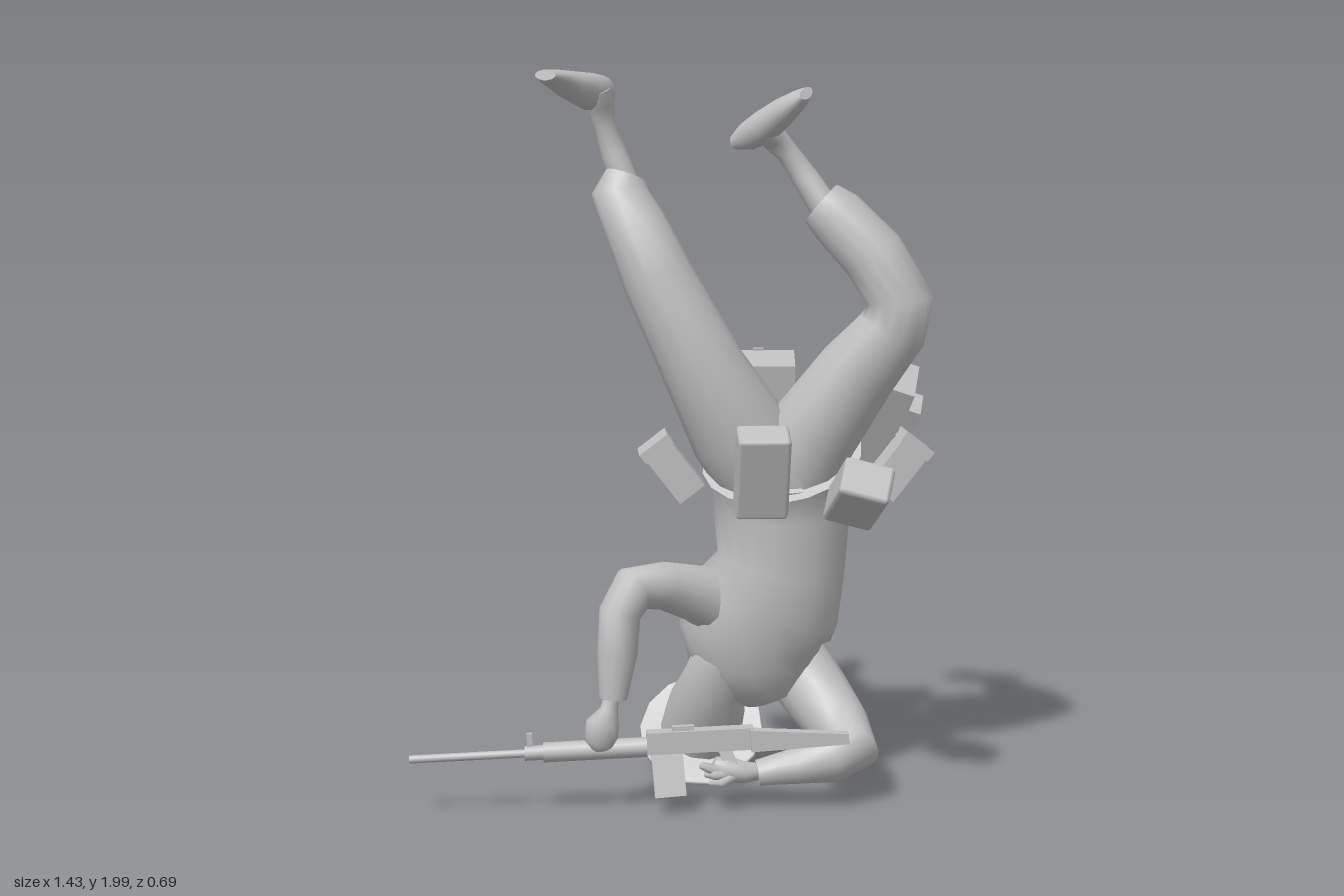
import * as THREE from 'three';
import { RoundedBoxGeometry } from 'three/addons/geometries/RoundedBoxGeometry.js';

const V = (x, y, z) => new THREE.Vector3(x, y, z);

// Closed skin over elliptical rings [x, y, z, a, b]; b lies along ref, a across it
function limbGeometry(rings, ref = V(0, 0, 1), n = 14) {
  const pos = [], idx = [];
  const pts = rings.map(r => V(r[0], r[1], r[2]));
  rings.forEach((r, i) => {
    const t = V(0, 0, 0);
    if (i > 0) t.add(pts[i].clone().sub(pts[i - 1]).normalize());
    if (i < pts.length - 1) t.add(pts[i + 1].clone().sub(pts[i]).normalize());
    t.normalize();
    const side = ref.clone().cross(t).normalize(), up = t.clone().cross(side);
    for (let j = 0; j < n; j++) {
      const k = j / n * Math.PI * 2;
      const p = pts[i].clone().addScaledVector(side, r[3] * Math.cos(k))
        .addScaledVector(up, (r[4] ?? r[3]) * Math.sin(k));
      pos.push(p.x, p.y, p.z);
    }
  });
  for (let i = 0; i < rings.length - 1; i++) for (let j = 0; j < n; j++) {
    const a = i * n + j, b = i * n + (j + 1) % n;
    idx.push(a, b, a + n, b, b + n, a + n);
  }
  // flat end caps with their own vertices
  [[0, 1], [rings.length - 1, 0]].forEach(([i, start]) => {
    const base = pos.length / 3;
    pos.push(...pos.slice(i * n * 3, (i + 1) * n * 3), ...pts[i].toArray());
    for (let j = 0; j < n; j++) {
      const a = base + j, b = base + (j + 1) % n;
      idx.push(base + n, start ? b : a, start ? a : b);
    }
  });
  const g = new THREE.BufferGeometry();
  g.setAttribute('position', new THREE.Float32BufferAttribute(pos, 3));
  g.setIndex(idx);
  g.computeVertexNormals();
  return g;
}

export function createModel() {
  const model = new THREE.Group();
  model.name = 'upturnedSoldier';
  const grey = new THREE.MeshStandardMaterial({ color: 0xc0c0c0 });
  grey.name = 'plain grey';

  const add = (name, geo, parent = model) => {
    const m = new THREE.Mesh(geo, grey);
    m.name = name;
    parent.add(m);
    return m;
  };
  const limb = (name, rings, ref, n) => add(name, limbGeometry(rings, ref, n));
  const box = (name, size, at, parent, rot = [0, 0, 0], r = 0) => {
    const m = add(name, r ? new RoundedBoxGeometry(...size, 1, r) : new THREE.BoxGeometry(...size), parent);
    m.position.set(...at);
    m.rotation.set(...rot);
    return m;
  };

  // Jacket, hem at the top and shoulders at the bottom
  limb('jacket', [
    [0.295, 0.955, 0, 0.22, 0.165], [0.30, 0.93, -0.02, 0.20, 0.145],
    [0.30, 0.80, -0.04, 0.188, 0.14], [0.30, 0.65, -0.05, 0.178, 0.15],
    [0.255, 0.54, -0.065, 0.215, 0.155], [0.235, 0.46, -0.075, 0.215, 0.15],
    [0.24, 0.39, -0.085, 0.19, 0.14], [0.27, 0.32, -0.095, 0.14, 0.12],
    [0.29, 0.27, -0.095, 0.09, 0.08],
  ], V(0, 0, 1), 18);
  limb('pelvis', [
    [0.30, 0.90, -0.01, 0.17, 0.12], [0.30, 0.98, 0, 0.17, 0.12],
    [0.29, 1.03, 0, 0.12, 0.10], [0.29, 1.06, 0, 0.05, 0.05],
  ]);

  // Trouser legs, shins and feet
  limb('rightTrouser', [
    [0.24, 0.92, -0.01, 0.13, 0.12], [0.175, 1.03, 0.01, 0.135, 0.125],
    [0.08, 1.20, 0.03, 0.112, 0.11], [-0.045, 1.45, 0.03, 0.096, 0.09],
    [-0.10, 1.58, -0.01, 0.085, 0.075], [-0.14, 1.67, -0.035, 0.078, 0.06],
    [-0.125, 1.715, -0.045, 0.055, 0.05],
  ]);
  limb('rightShin', [
    [-0.12, 1.68, -0.045, 0.036], [-0.155, 1.77, -0.055, 0.036],
    [-0.18, 1.85, -0.06, 0.029, 0.032], [-0.19, 1.90, -0.05, 0.036, 0.055],
    [-0.2, 1.94, -0.045, 0.036, 0.065],
  ]);
  limb('rightFoot', [
    [-0.175, 1.935, -0.11, 0.025, 0.028], [-0.19, 1.935, -0.07, 0.042, 0.045],
    [-0.225, 1.938, -0.02, 0.046, 0.05], [-0.275, 1.955, 0.04, 0.048, 0.038],
    [-0.32, 1.975, 0.10, 0.044, 0.022], [-0.34, 1.982, 0.14, 0.03, 0.014],
  ], V(0, 1, 0));
  limb('leftTrouser', [
    [0.33, 0.92, -0.01, 0.13, 0.12], [0.38, 1.03, 0.02, 0.125, 0.125],
    [0.49, 1.20, 0.075, 0.108, 0.105], [0.575, 1.31, 0.105, 0.095, 0.09],
    [0.597, 1.39, 0.112, 0.092, 0.088], [0.525, 1.51, 0.09, 0.085, 0.08],
    [0.43, 1.61, 0.06, 0.078, 0.072], [0.39, 1.645, 0.05, 0.065, 0.06],
  ]);
  limb('leftShin', [
    [0.40, 1.63, 0.05, 0.04], [0.35, 1.71, 0.03, 0.035],
    [0.30, 1.78, 0.02, 0.03, 0.032], [0.265, 1.815, 0.035, 0.035, 0.045],
    [0.235, 1.84, 0.045, 0.035, 0.055],
  ]);
  limb('leftFoot', [
    [0.165, 1.805, -0.005, 0.025, 0.02], [0.195, 1.82, 0.02, 0.04, 0.038],
    [0.235, 1.845, 0.055, 0.045, 0.045], [0.28, 1.885, 0.10, 0.046, 0.038],
    [0.32, 1.92, 0.14, 0.042, 0.025], [0.335, 1.935, 0.16, 0.03, 0.014],
  ], V(-0.6, 0.75, 0));

  // Sleeves and hands
  limb('rightSleeve', [
    [0.16, 0.52, -0.06, 0.10, 0.10], [0.07, 0.575, -0.01, 0.08, 0.08],
    [-0.03, 0.615, 0.06, 0.066, 0.064], [-0.115, 0.62, 0.12, 0.064, 0.062],
    [-0.152, 0.56, 0.145, 0.057, 0.056], [-0.16, 0.45, 0.155, 0.054, 0.05],
    [-0.172, 0.33, 0.16, 0.038, 0.038],
  ]);
  limb('rightHand', [
    [-0.175, 0.34, 0.16, 0.02], [-0.182, 0.30, 0.162, 0.024], [-0.20, 0.26, 0.165, 0.046, 0.03],
    [-0.205, 0.22, 0.165, 0.045, 0.032], [-0.20, 0.195, 0.15, 0.03, 0.02],
  ]);
  limb('leftSleeve', [
    [0.34, 0.36, -0.12, 0.10], [0.405, 0.27, -0.065, 0.095], [0.455, 0.205, 0.02, 0.086],
    [0.478, 0.165, 0.095, 0.08], [0.42, 0.142, 0.125, 0.066], [0.33, 0.125, 0.125, 0.05],
    [0.22, 0.108, 0.13, 0.035],
  ], V(0, 1, 0));
  limb('leftHand', [
    [0.23, 0.11, 0.125, 0.022], [0.18, 0.112, 0.135, 0.035, 0.03],
    [0.13, 0.125, 0.14, 0.035, 0.035], [0.10, 0.14, 0.14, 0.02],
  ], V(0, 1, 0));
  for (let i = 0; i < 3; i++) limb('leftFinger', [
    [0.16 - i * 0.015, 0.11, 0.155, 0.014], [0.12 - i * 0.02, 0.095 + i * 0.022, 0.175, 0.013],
    [0.09 - i * 0.012, 0.09 + i * 0.024, 0.155, 0.009],
  ], V(0, 1, 0), 6);

  // Head hanging down under the shoulders, with a shallow brimmed helmet
  limb('head', [
    [0.15, 0.425, -0.03, 0.05], [0.135, 0.385, -0.04, 0.082, 0.07],
    [0.115, 0.30, -0.085, 0.092, 0.092], [0.10, 0.22, -0.145, 0.11, 0.11], [0.09, 0.14, -0.20, 0.115, 0.11],
  ]);
  const helmet = add('helmet', new THREE.LatheGeometry([
    [0.001, 0.004], [0.115, 0.002], [0.174, -0.012], [0.178, -0.002], [0.125, 0.016],
    [0.105, 0.036], [0.06, 0.05], [0.001, 0.054],
  ].map(p => new THREE.Vector2(...p)), 14));
  helmet.position.set(0.092, 0.134, -0.214);
  helmet.quaternion.setFromUnitVectors(V(0, 1, 0), V(0.16, -0.69, -0.70).normalize());

  // Belt pouches
  box('frontPouch', [0.14, 0.24, 0.095], [0.22, 0.95, 0.22], model, [0.37, 0, 0], 0.012);
  box('frontLeftPouch', [0.135, 0.105, 0.24], [0.475, 0.89, 0.225], model, [-0.5, 0.08, -0.25], 0.012);
  [[-1, 0], [1, 0.62]].forEach(([s, x]) => {
    const g = new THREE.Group();
    g.name = s < 0 ? 'rightSidePouch' : 'leftSidePouch';
    g.position.set(x, 0.92, -0.06);
    g.rotation.z = -s * 0.66;
    model.add(g);
    box('pouchBody', [0.085, 0.15, 0.115], [0, -0.01, 0], g);
    box('pouchLid', [0.095, 0.03, 0.125], [0, 0.075, 0], g);
  });

  // Field packs on the back of the belt
  const pack = (name, at, rot, s) => {
    const g = new THREE.Group();
    g.name = name;
    g.position.set(...at);
    g.rotation.set(...rot, 'YXZ');
    model.add(g);
    box('packBody', [0.19, 0.21, 0.135], [0, -0.035, 0], g);
    box('packLid', [0.2, 0.07, 0.145], [0, 0.105, 0], g);
    box('sidePocket', [0.045, 0.16, 0.09], [s * 0.115, -0.01, 0], g);
    box('backStrap', [0.03, 0.12, 0.008], [0, 0.085, -0.075], g);
  };
  pack('rightPack', [0.25, 1.065, -0.215], [0.2, -0.08, 0], -1);
  pack('leftPack', [0.55, 1.06, -0.17], [0.48, -0.25, -0.35], 1);

  // Rifle lying along x, muzzle toward -x
  const rifle = new THREE.Group();
  rifle.name = 'rifle';
  rifle.position.set(0, 0.19, 0.135);
  rifle.rotation.z = 0.038;
  model.add(rifle);
  const rod = (name, r, x0, x1) => {
    const m = add(name, new THREE.CylinderGeometry(r, r, x1 - x0, 10), rifle);
    m.rotation.z = Math.PI / 2;
    m.position.x = (x0 + x1) / 2;
  };
  rod('barrel', 0.011, -0.72, -0.38);
  rod('gasBlock', 0.02, -0.41, -0.36);
  rod('handguard', 0.027, -0.36, -0.08);
  box('frontSight', [0.015, 0.05, 0.012], [-0.395, 0.03, 0], rifle);
  box('receiver', [0.29, 0.06, 0.042], [0.065, 0.012, 0], rifle);
  box('rearSight', [0.06, 0.018, 0.02], [0.02, 0.045, 0], rifle);
  box('magazine', [0.085, 0.13, 0.03], [-0.025, -0.07, 0.018], rifle, [-0.28, 0, 0.04]);
  box('grip', [0.035, 0.07, 0.03], [0.14, -0.045, 0.008], rifle, [-0.2, 0, 0.35]);
  const stock = new THREE.Shape([[0.2, -0.02], [0.465, -0.012], [0.465, 0.016], [0.2, 0.04]]
    .map(p => new THREE.Vector2(...p)));
  add('stock', new THREE.ExtrudeGeometry(stock, { depth: 0.034, bevelEnabled: false }), rifle)
    .position.z = 0.004;

  return model;
}
